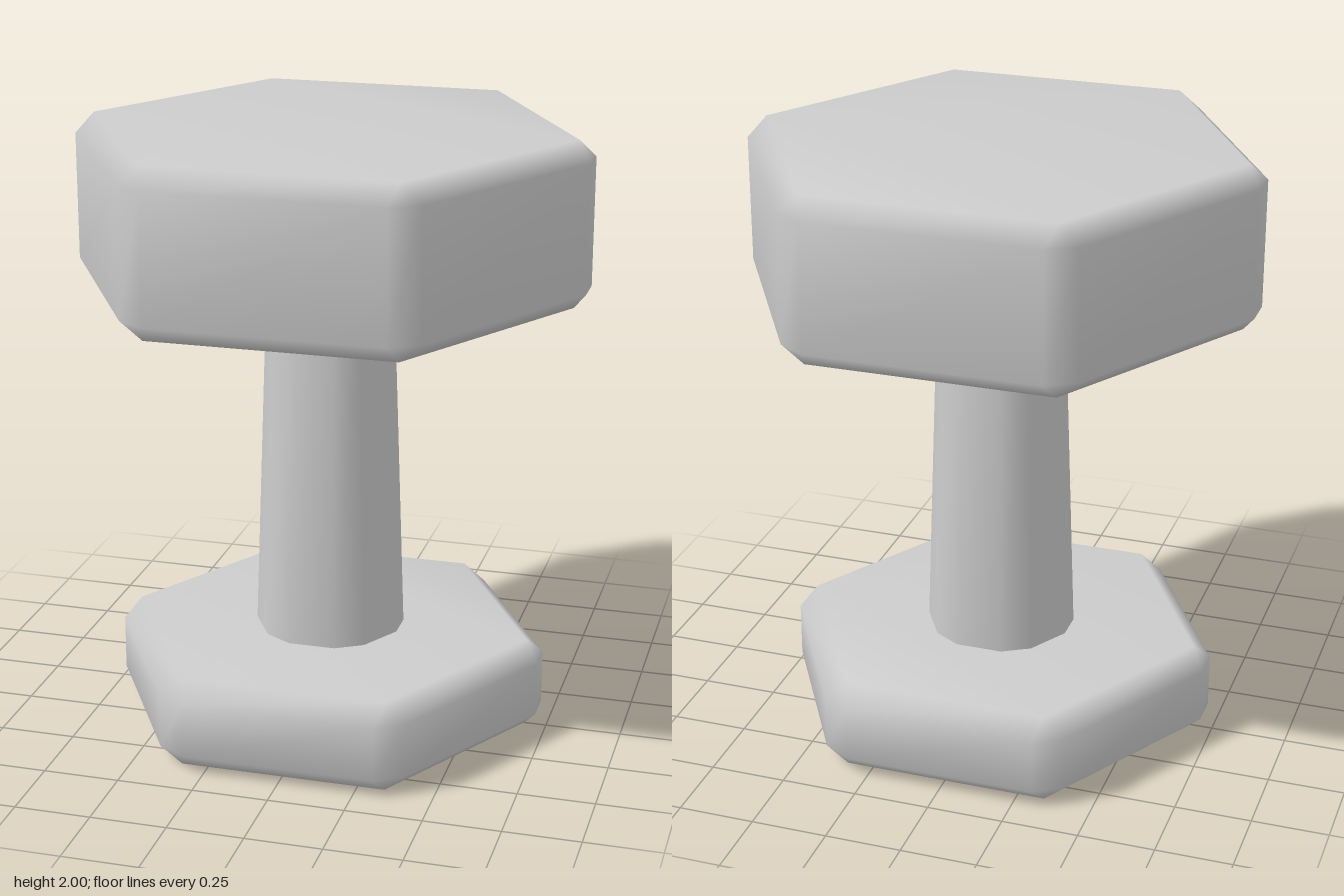
import * as THREE from 'three';

// Six corners of a hexagon with the given apothem, at height y
function hexRing(apothem, y) {
  const r = apothem / Math.cos(Math.PI / 6);
  return Array.from({ length: 6 }, (_, k) =>
    new THREE.Vector3(r * Math.cos(k * Math.PI / 3), y, r * Math.sin(k * Math.PI / 3)));
}

// Twelve points: the same hexagon with each corner cut back along its sides
function cutHexRing(apothem, y, cut) {
  const c = hexRing(apothem, y);
  const toward = (a, b) => a.clone().add(b.clone().sub(a).setLength(cut));
  return c.flatMap((p, k) => [toward(p, c[(k + 5) % 6]), toward(p, c[(k + 1) % 6])]);
}

function toGeometry(points, index) {
  const g = new THREE.BufferGeometry().setFromPoints(points);
  g.setIndex(index);
  g.computeVertexNormals();
  return g;
}

// Side wall between a lower 12-ring (starting at a) and an upper one (at b)
function wall(index, a, b) {
  for (let j = 0; j < 12; j++) {
    const n = (j + 1) % 12;
    index.push(a + n, a + j, b + j, a + n, b + j, b + n);
  }
}

// Hexagonal slab with all edges bevelled and smooth shaded
function bevelledHex(apothem, y0, y1, bevel) {
  const inset = apothem - bevel * 1.08;
  const points = [
    ...cutHexRing(apothem, y0 + bevel, bevel), // 0..11
    ...cutHexRing(apothem, y1 - bevel, bevel), // 12..23
    ...hexRing(inset, y0), // 24..29
    ...hexRing(inset, y1), // 30..35
  ];
  const index = [];
  wall(index, 0, 12);
  const cap = (ring, face, flip) => {
    const tri = (a, b, c) => index.push(a, ...(flip ? [c, b] : [b, c]));
    for (let k = 0; k < 6; k++) {
      const n = (k + 1) % 6;
      const r = ring + 2 * k + 1, l = ring + 2 * n;
      tri(r, r - 1, face + k); // corner
      tri(l, r, face + k); // bevel strip
      tri(l, face + k, face + n);
      if (k > 0 && k < 5) tri(face, face + n, face + k); // flat face
    }
  };
  cap(0, 24, true);
  cap(12, 30, false);
  return toGeometry(points, index);
}

// Tapered hexagonal shaft with cut corners; its ends sit inside the slabs
function taperedShaft(a0, a1, y0, y1) {
  const index = [];
  wall(index, 0, 12);
  return toGeometry([...cutHexRing(a0, y0, 0.059), ...cutHexRing(a1, y1, 0.054)], index);
}

export function createModel() {
  const group = new THREE.Group();
  const grey = new THREE.MeshStandardMaterial({ color: 0xcccccc });
  grey.name = 'light grey';
  const add = (name, geometry) => {
    const mesh = new THREE.Mesh(geometry, grey);
    mesh.name = name;
    group.add(mesh);
  };
  add('base', bevelledHex(0.651, 0, 0.305, 0.061));
  add('shaft', taperedShaft(0.236, 0.198, 0.295, 1.47));
  add('head', bevelledHex(0.754, 1.462, 2, 0.061));
  return group;
}
